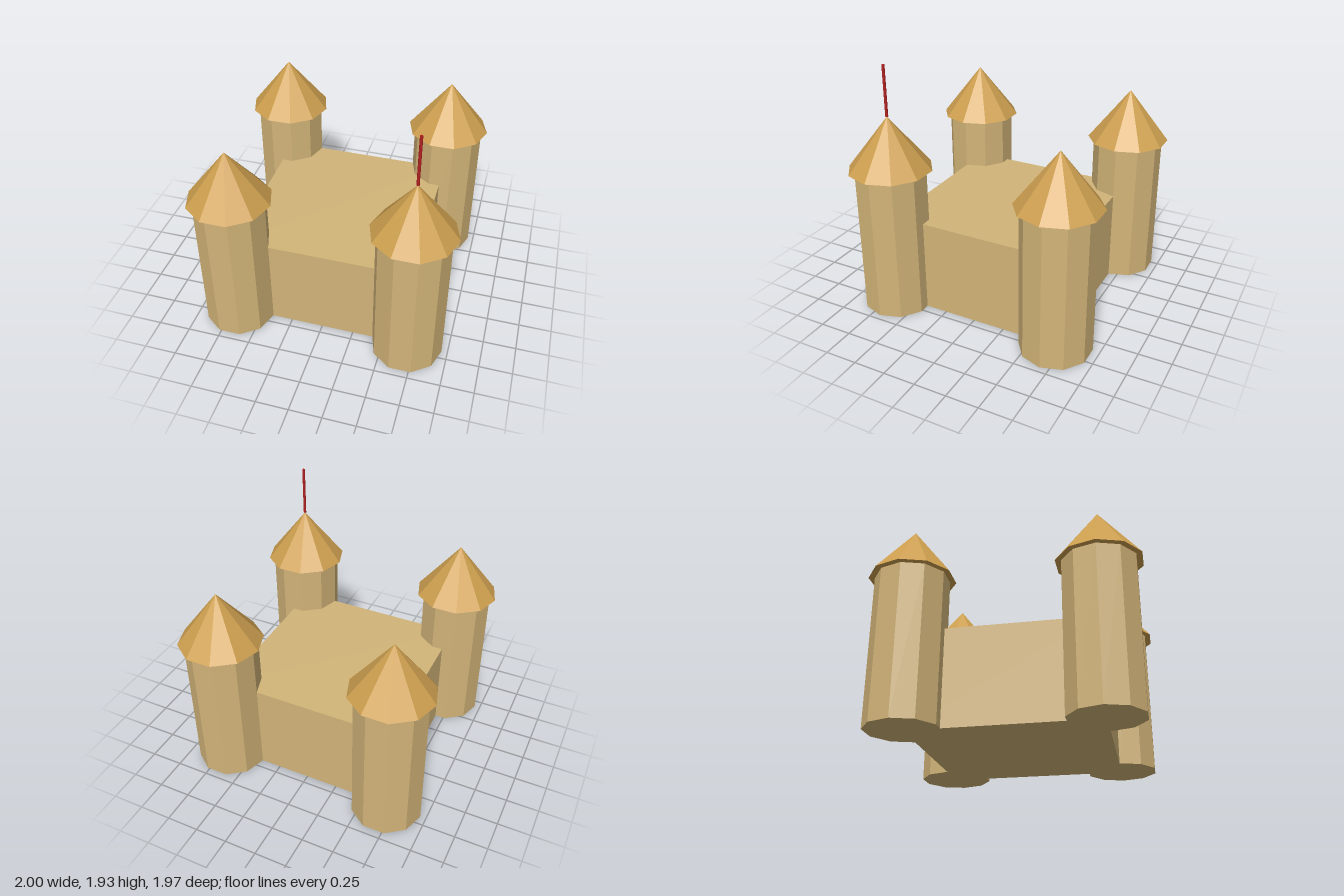
import * as THREE from 'three';

export function createModel() {
  const castle = new THREE.Group();
  castle.name = 'castle';

  const material = (color) => new THREE.MeshStandardMaterial({ color, flatShading: true });
  const stone = material(0xd2b478);
  const roofing = material(0xcd9f4f);
  const red = material(0xb02020);

  const half = 0.682; // towers stand on the corners of the keep
  const keepHeight = 0.73;
  const towerHeight = 1.14;
  const roofHeight = 0.406;
  const poleHeight = 0.386;
  const sides = 10;

  const addPart = (parent, name, geometry, mat, y) => {
    const mesh = new THREE.Mesh(geometry, mat);
    mesh.name = name;
    mesh.position.y = y;
    parent.add(mesh);
  };

  // Central block
  addPart(castle, 'keep', new THREE.BoxGeometry(2 * half, keepHeight, 2 * half), stone, keepHeight / 2);

  // Ten-sided corner towers with corners pointing along x
  const wall = new THREE.CylinderGeometry(0.273, 0.273, towerHeight, sides).rotateY(Math.PI / 2);
  const cone = new THREE.ConeGeometry(0.318, roofHeight, sides).rotateY(Math.PI / 2);
  for (const [end, z] of [['front', half], ['back', -half]]) {
    for (const [side, x] of [['Left', half], ['Right', -half]]) {
      const tower = new THREE.Group();
      tower.name = `${end}${side}Tower`;
      tower.position.set(x, 0, z);
      addPart(tower, 'towerWall', wall, stone, towerHeight / 2);
      addPart(tower, 'towerRoof', cone, roofing, towerHeight + roofHeight / 2);
      castle.add(tower);
    }
  }

  // Flagpole on the front left tower
  const pole = new THREE.CylinderGeometry(0.011, 0.011, poleHeight, 8);
  addPart(castle.getObjectByName('frontLeftTower'), 'flagpole', pole, red, towerHeight + roofHeight + poleHeight / 2);

  return castle;
}
